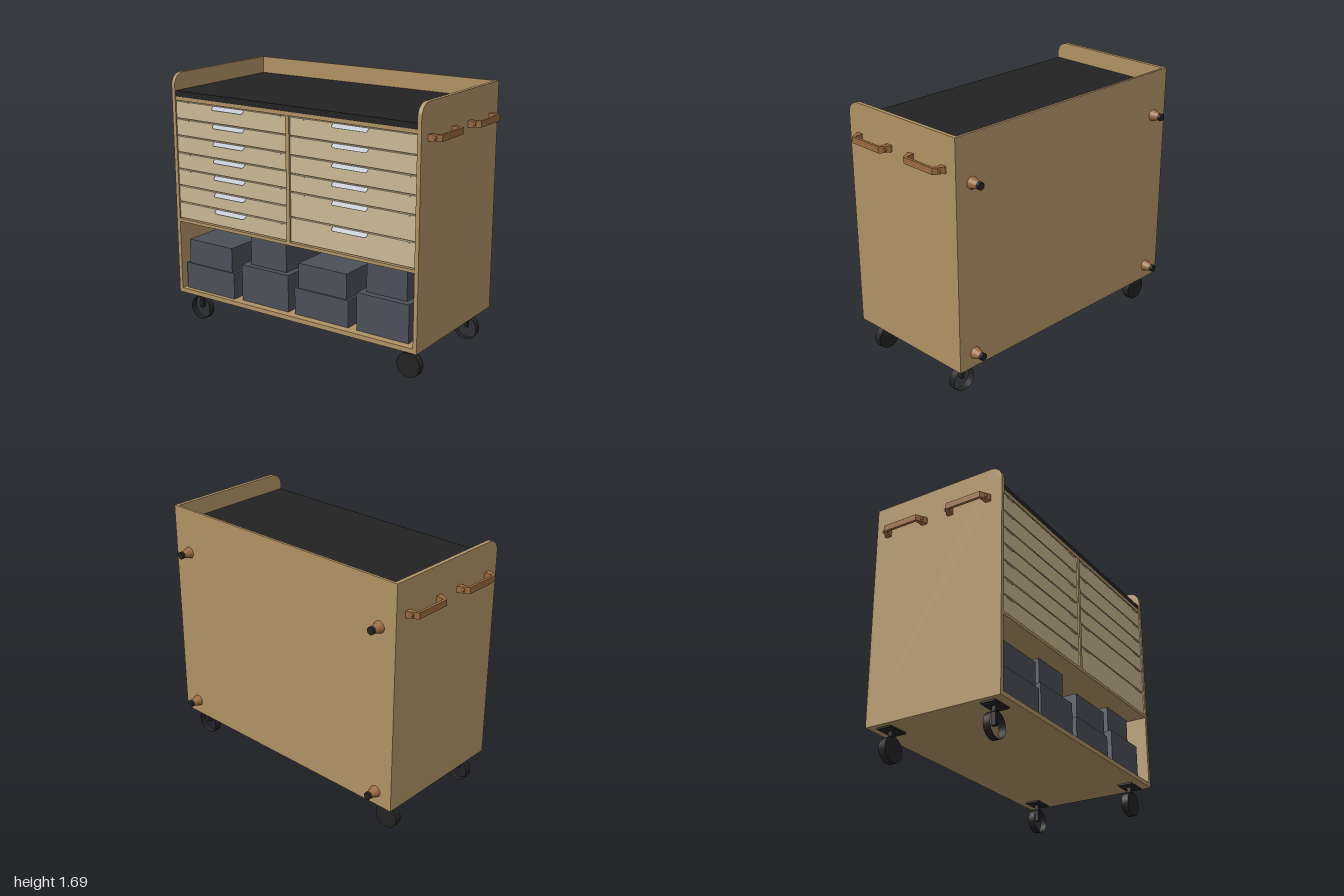
import * as THREE from 'three';

const mat = (name, color, side = THREE.FrontSide) => {
  const m = new THREE.MeshStandardMaterial({ color, side });
  m.name = name;
  return m;
};

export function createModel() {
  const root = new THREE.Group();
  root.name = 'toolCart';
  const wood = mat('wood', 0xb09264);
  const drawerWood = mat('paleWood', 0xc9b893);
  const black = mat('blackRubber', 0x222222, THREE.DoubleSide);
  const crateGrey = mat('slateGrey', 0x4b4f59);
  const brown = mat('brownHandle', 0x9a6a3e);
  const metal = mat('paleMetal', 0xbcc1cb, THREE.DoubleSide);

  const add = (name, geo, m, parent = root) => {
    const mesh = new THREE.Mesh(geo, m);
    mesh.name = name;
    parent.add(mesh);
    return mesh;
  };
  // box from its min and max on each axis
  const box = (name, m, [x0, x1], [y0, y1], [z0, z1], parent = root) => {
    const b = add(name, new THREE.BoxGeometry(x1 - x0, y1 - y0, z1 - z0), m, parent);
    b.position.set((x0 + x1) / 2, (y0 + y1) / 2, (z0 + z1) / 2);
    return b;
  };

  const W = 0.927, IN = 0.901, FRONT = 0.495, BACK = -0.437;
  const Y0 = 0.205, Y1 = 1.69, R = 0.08;

  // side panels with a rounded top front corner, drawn in (z, y)
  const panel = new THREE.Shape();
  panel.moveTo(BACK + 0.017, Y0);
  panel.lineTo(FRONT, Y0);
  panel.lineTo(FRONT, Y1 - R);
  panel.absarc(FRONT - R, Y1 - R, R, 0, Math.PI / 2, false);
  panel.lineTo(BACK + 0.017, Y1);
  panel.closePath();
  for (const s of [-1, 1]) {
    const geo = new THREE.ExtrudeGeometry(panel, { depth: W - IN, bevelEnabled: false, curveSegments: 10 });
    geo.rotateY(-Math.PI / 2); // z -> x mapping: shape x becomes +z, depth becomes -x
    add('sidePanel', geo, wood).position.x = s > 0 ? W : -IN;
  }

  // carcass
  box('backPanel', wood, [-W, W], [Y0, Y1], [BACK, BACK + 0.017]);
  box('floorPanel', wood, [-IN, IN], [Y0, 0.235], [BACK + 0.017, FRONT]);
  box('shelf', wood, [-IN, IN], [0.703, 0.724], [BACK + 0.017, FRONT]);
  box('divider', wood, [-0.014, 0.012], [0.724, 1.517], [0.47, FRONT]);
  box('topRail', wood, [-IN, IN], [1.517, 1.541], [BACK + 0.017, FRONT - 0.005]);
  box('drawerHousing', wood, [-IN, IN], [0.724, 1.517], [BACK + 0.017, 0.47]);
  box('worktop', black, [-IN, IN], [1.541, 1.578], [BACK + 0.017, 0.488]);

  // drawer pull plate with rounded lower corners, tilted outwards
  const pull = new THREE.Shape();
  pull.moveTo(-0.125, 0);
  pull.lineTo(-0.125, -0.014);
  pull.quadraticCurveTo(-0.125, -0.032, -0.107, -0.032);
  pull.lineTo(0.107, -0.032);
  pull.quadraticCurveTo(0.125, -0.032, 0.125, -0.014);
  pull.lineTo(0.125, 0);
  pull.closePath();
  const pullGeo = new THREE.ShapeGeometry(pull, 5);

  // two banks of drawers, given by their edges from the top down
  const banks = [
    { x0: -0.899, x1: -0.019, edges: [1.515, 1.398, 1.286, 1.174, 1.064, 0.952, 0.84, 0.727] },
    { x0: 0.016, x1: 0.897, edges: [1.515, 1.396, 1.278, 1.163, 1.048, 0.888, 0.727] },
  ];
  for (const { x0, x1, edges } of banks) {
    const cx = (x0 + x1) / 2;
    for (let i = 0; i < edges.length - 1; i++) {
      const top = edges[i], drawer = new THREE.Group();
      drawer.name = 'drawer';
      root.add(drawer);
      box('drawerFront', drawerWood, [x0, x1], [edges[i + 1] + 0.004, top - 0.004], [0.468, 0.488], drawer);
      for (const s of [-1, 1]) {
        const tx = cx + s * 0.37;
        box('drawerTab', drawerWood, [tx - 0.034, tx + 0.034], [top - 0.014, top - 0.004], [0.486, 0.491], drawer);
      }
      const p = add('drawerPull', pullGeo, metal, drawer);
      p.position.set(cx, top - 0.004, 0.491);
      p.rotation.x = -Math.PI / 4;
    }
  }

  // stacked crates in the lower bay: x range, top height, front z
  const crates = [
    [-0.88, -0.473, 0.235, 0.412, 0.465], [-0.858, -0.495, 0.412, 0.577, 0.455],
    [-0.42, -0.045, 0.235, 0.48, 0.445], [-0.372, -0.088, 0.48, 0.668, 0.405],
    [0.006, 0.412, 0.235, 0.412, 0.445], [0.03, 0.393, 0.412, 0.577, 0.435],
    [0.473, 0.842, 0.235, 0.48, 0.445], [0.516, 0.8, 0.48, 0.668, 0.4],
  ];
  for (const [x0, x1, y0, y1, z] of crates) {
    box('crate', crateGrey, [x0, x1], [y0, y1], [z - 0.55, z]);
  }

  // casters; the open-rimmed and solid wheels alternate diagonally
  for (const x of [-0.822, 0.822]) {
    for (const z of [-0.328, 0.388]) {
      const caster = new THREE.Group();
      caster.name = 'caster';
      caster.position.set(x, 0, z);
      root.add(caster);
      box('casterPlate', black, [-0.073, 0.073], [0.194, 0.205], [-0.049, 0.049], caster);
      box('casterStem', black, [-0.012, 0.012], [0.08, 0.195], [-0.014, 0.014], caster);
      const wheel = add('wheel', new THREE.CylinderGeometry(0.08, 0.08, 0.047, 32, 1, x * z < 0), black, caster);
      wheel.rotation.x = Math.PI / 2;
      wheel.position.y = 0.08;
    }
  }

  // rear bumpers: brown cone with a black tip
  for (const x of [-0.806, 0.806]) {
    for (const y of [0.298, 1.395]) {
      const bumper = new THREE.Group();
      bumper.name = 'bumper';
      bumper.position.set(x, y, BACK);
      bumper.rotation.x = -Math.PI / 2;
      root.add(bumper);
      add('bumperCone', new THREE.CylinderGeometry(0.022, 0.038, 0.054, 20), brown, bumper).position.y = 0.027;
      add('bumperTip', new THREE.CylinderGeometry(0.024, 0.024, 0.022, 20), black, bumper).position.y = 0.065;
    }
  }

  // side handles: outline in (distance from panel, z), extruded vertically
  const outline = [[0, 0.157], [0, 0.118], [0.056, 0.112], [0.056, -0.112], [0, -0.118], [0, -0.157],
    [0.014, -0.157], [0.062, -0.13], [0.073, -0.122], [0.073, 0.122], [0.062, 0.13], [0.014, 0.157]];
  const handleGeo = new THREE.ExtrudeGeometry(
    new THREE.Shape(outline.map(([x, z]) => new THREE.Vector2(x, z))), { depth: 0.04, bevelEnabled: false });
  handleGeo.rotateX(-Math.PI / 2);
  for (const s of [-1, 1]) {
    for (const z of [0.263, -0.204]) {
      const handle = new THREE.Group();
      handle.name = 'sideHandle';
      handle.position.set(s * W, 1.485, z);
      handle.rotation.y = s > 0 ? 0 : Math.PI;
      root.add(handle);
      add('handleBar', handleGeo, brown, handle).position.y = -0.02;
      for (const e of [-1, 1]) {
        const screw = add('handleScrew', new THREE.CylinderGeometry(0.011, 0.011, 0.012, 14), brown, handle);
        screw.rotation.z = -Math.PI / 2;
        screw.position.set(0.04, 0, e * 0.143);
      }
    }
  }

  return root;
}
